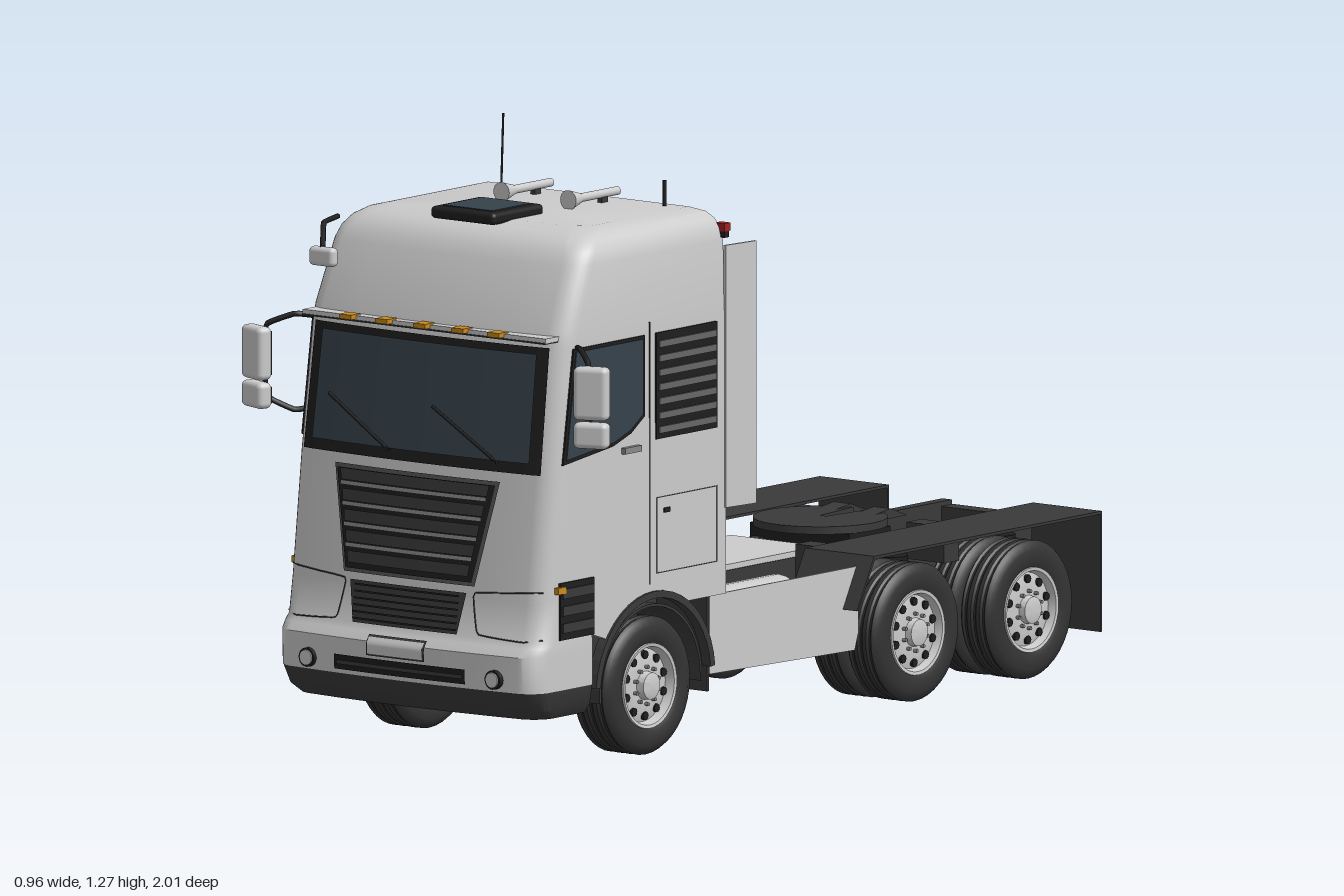
import * as THREE from 'three';
import { toCreasedNormals } from 'three/addons/utils/BufferGeometryUtils.js';
import { RoundedBoxGeometry } from 'three/addons/geometries/RoundedBoxGeometry.js';

const GREY = 0xcccccc, DARK = 0x3a3a3a, BLACK = 0x1e1e1e, GLASS = 0x36424b, TYRE = 0x333333;
const AMBER = 0xc98a1c, RED = 0xa02020, MID = 0x8a8a8a;
const V = (x, y, z) => new THREE.Vector3(x, y, z);

// horizontal sections: [height, front z, half width, back z]
const BUMPER_LOW = [[0.115, 0.96, 0.325, 0.79], [0.135, 0.982, 0.338, 0.79], [0.175, 0.998, 0.344, 0.79]];
const BUMPER = [[0.175, 0.998, 0.345, 0.79], [0.25, 1, 0.345, 0.79], [0.268, 0.988, 0.345, 0.79], [0.28, 0.978, 0.344, 0.79], [0.36, 0.967, 0.343, 0.79]];
const CAB = [[0.36, 0.967, 0.343, 0.34], [0.62, 0.937, 0.343, 0.34], [0.89, 0.9, 0.342, 0.34], [0.92, 0.893, 0.341, 0.34],
  [1.05, 0.838, 0.334, 0.34], [1.075, 0.823, 0.328, 0.341], [1.095, 0.803, 0.315, 0.344], [1.108, 0.775, 0.297, 0.35], [1.116, 0.73, 0.265, 0.365]];
const PROFILE = [...BUMPER_LOW, ...BUMPER, ...CAB];
const R = 0.045;

// front surface: slightly bowed, with round corners
function bow(x, zf, w) {
  const e = Math.max(0, Math.abs(x) - (w - R)) / R;
  return zf - 0.02 * (x / w) ** 2 - R * (1 - Math.sqrt(Math.max(0, 1 - e * e)));
}
function frontZ(x, y) {
  let i = 0;
  while (i < PROFILE.length - 2 && PROFILE[i + 1][0] < y) i++;
  const [a, b] = [PROFILE[i], PROFILE[i + 1]], t = (y - a[0]) / (b[0] - a[0] || 1);
  return bow(x, a[1] + (b[1] - a[1]) * t, a[2] + (b[2] - a[2]) * t);
}
function loft(rings) {
  const pos = [], idx = [];
  let n = 0;
  for (const [y, zf, w, zb] of rings) {
    const xs = [];
    for (let k = 0; k <= 7; k++) xs.push(w - R + R * Math.sin(k / 7 * Math.PI / 2));
    const row = [...xs.slice().reverse().map(x => -x), -0.2, -0.1, 0, 0.1, 0.2, ...xs];
    const pts = row.map(x => [x, y, bow(x, zf, w)]);
    pts.push([w, y, zb], [-w, y, zb]);
    n = pts.length;
    pos.push(...pts.flat());
  }
  const top = rings.length - 1, c = pos.length / 3;
  for (const r of [rings[0], rings[top]]) pos.push(0, r[0], (r[1] + r[3]) / 2);
  for (let j = 0; j < n; j++) {
    const k = (j + 1) % n;
    for (let i = 0; i < top; i++) idx.push(i * n + j, i * n + k, i * n + n + k, i * n + j, i * n + n + k, i * n + n + j);
    idx.push(c, k, j, c + 1, top * n + j, top * n + k);
  }
  return toCreasedNormals(grid(pos, idx), 0.6);
}
function grid(pos, idx) {
  const g = new THREE.BufferGeometry();
  g.setAttribute('position', new THREE.Float32BufferAttribute(pos, 3));
  g.setIndex(idx);
  g.computeVertexNormals();
  return g;
}

export function createModel() {
  const root = new THREE.Group();
  function add(name, geo, color = GREY, parent = root) {
    const m = new THREE.Mesh(geo, new THREE.MeshStandardMaterial({ color, side: THREE.DoubleSide }));
    m.name = name;
    parent.add(m);
    return m;
  }
  const box = (name, x0, x1, y0, y1, z0, z1, color) => add(name,
    new THREE.BoxGeometry(Math.abs(x1 - x0), y1 - y0, Math.abs(z1 - z0)).translate((x0 + x1) / 2, (y0 + y1) / 2, (z0 + z1) / 2), color);
  const tube = (name, pts, r, color = BLACK, seg = 16) => add(name,
    new THREE.TubeGeometry(new THREE.CatmullRomCurve3(pts.map(p => V(...p)), false, 'catmullrom', 0.1), seg, r, 6), color);
  const cyl = (name, axis, r, len, x, y, z, color, r2 = r) => {
    const g = new THREE.CylinderGeometry(r2, r, len, 24);
    if (axis === 'x') g.rotateZ(-Math.PI / 2);
    if (axis === 'z') g.rotateX(Math.PI / 2);
    return add(name, g.translate(x, y, z), color);
  };
  // side outline in (z, y), extruded from x0 to x1
  const side = (name, pts, x0, x1, color) => add(name,
    new THREE.ExtrudeGeometry(new THREE.Shape(pts.map(([z, y]) => new THREE.Vector2(-z, y))), { depth: Math.abs(x1 - x0), bevelEnabled: false })
      .rotateY(Math.PI / 2).translate(Math.min(x0, x1), 0, 0), color);
  // trapezoid laid on the cab front
  function patch(name, y0, w0, y1, w1, off, color, xc = 0) {
    const pos = [], idx = [], nx = 32, ny = 6;
    for (let i = 0; i <= ny; i++) for (let j = 0; j <= nx; j++) {
      const y = y0 + (y1 - y0) * i / ny, x = xc + (w0 + (w1 - w0) * i / ny) * (2 * j / nx - 1);
      pos.push(x, y, frontZ(x, y) + off);
      if (i < ny && j < nx) { const a = i * (nx + 1) + j, d = a + nx + 1; idx.push(a, a + 1, d + 1, a, d + 1, d); }
    }
    return add(name, grid(pos, idx), color);
  }

  // cab shell
  add('cab', loft(CAB));
  add('bumper', loft(BUMPER));
  add('bumperLower', loft(BUMPER_LOW), DARK);

  // front face
  patch('windscreenFrame', 0.625, 0.312, 0.888, 0.308, 0.004, BLACK);
  patch('windscreen', 0.648, 0.286, 0.874, 0.282, 0.008, GLASS);
  for (const x of [-0.07, 0.21])
    tube('wiper', [[x, 0.645, frontZ(x, 0.645) + 0.012], [x - 0.175, 0.745, frontZ(x - 0.175, 0.745) + 0.012]], 0.0035);
  patch('grilleFrame', 0.385, 0.172, 0.605, 0.217, 0.006, 0x555555);
  patch('grille', 0.393, 0.166, 0.597, 0.208, 0.009, BLACK);
  for (let i = 0; i < 5; i++) {
    const y = 0.405 + i * 0.042, w = 0.158 + i * 0.0085;
    patch('grilleSlat', y, w, y + 0.024, w + 0.004, 0.013, DARK);
    if (i) patch('grilleTrim', y - 0.01, w, y - 0.001, w, 0.015, MID);
  }
  patch('lowerGrille', 0.283, 0.137, 0.37, 0.153, 0.006, DARK);
  for (let i = 0; i < 6; i++) patch('lowerGrilleBar', 0.29 + i * 0.014, 0.136, 0.294 + i * 0.014, 0.138, 0.009, BLACK);
  patch('bumperSlot', 0.184, 0.172, 0.215, 0.172, 0.004, BLACK);
  patch('bumperSlotBar', 0.195, 0.165, 0.204, 0.165, 0.007, DARK);
  patch('plateFrame', 0.223, 0.076, 0.266, 0.076, 0.014, DARK);
  patch('plate', 0.226, 0.073, 0.263, 0.073, 0.017, 0xdddddd);
  for (const s of [-1, 1]) {
    const fz = frontZ(0.245, 0.2);
    cyl('fogLightRing', 'z', 0.02, 0.02, s * 0.245, 0.2, fz, BLACK);
    cyl('fogLight', 'z', 0.016, 0.026, s * 0.245, 0.2, fz, GREY);
    // headlight outline
    const q = (x, y) => [s * x, y, frontZ(x, y) + 0.002];
    tube('headlightSeam', [q(0.335, 0.285), q(0.3, 0.28), q(0.25, 0.282), q(0.185, 0.288), q(0.168, 0.37), q(0.24, 0.377), q(0.3, 0.382), q(0.33, 0.383)], 0.0015, DARK, 40);
  }
  // sun visor lip and marker lights
  box('visorLip', -0.32, 0.32, 0.902, 0.912, 0.84, 0.915, GREY);
  box('visorEdge', -0.32, 0.32, 0.9, 0.903, 0.85, 0.918, DARK);
  for (const x of [-0.195, -0.1, 0, 0.1, 0.195]) box('markerLight', x - 0.016, x + 0.016, 0.905, 0.915, 0.9, 0.932, AMBER);

  // cab sides
  const AZ = 0.582, AY = 0.145;
  const arc = (r, a0, a1, n = 20) => Array.from({ length: n + 1 }, (_, i) => {
    const a = a0 + (a1 - a0) * i / n;
    return [AZ + r * Math.cos(a), AY + r * Math.sin(a)];
  });
  for (const s of [-1, 1]) {
    const X = s * 0.341, plate = (n, pts, c, t = 0.005) => side(n, pts, X, X + s * t, c);
    const rect = (z0, z1, y0, y1) => [[z0, y0], [z1, y0], [z1, y1], [z0, y1]];
    plate('sideWindow', [[0.888, 0.645], [0.852, 0.885], [0.615, 0.885], [0.615, 0.715], [0.66, 0.685], [0.72, 0.665]], BLACK, 0.004);
    plate('sideGlass', [[0.878, 0.655], [0.845, 0.878], [0.622, 0.878], [0.622, 0.72], [0.665, 0.692], [0.72, 0.673]], GLASS, 0.006);
    plate('ventPanel', rect(0.373, 0.577, 0.662, 0.885), BLACK);
    for (let i = 0; i < 7; i++) plate('ventSlat', rect(0.38, 0.57, 0.674 + i * 0.03, 0.688 + i * 0.03), 0x666666, 0.009);
    plate('stepPanel', rect(0.785, 0.9, 0.28, 0.4), BLACK, 0.006);
    for (let i = 0; i < 3; i++) plate('stepSlat', rect(0.79, 0.895, 0.295 + i * 0.036, 0.315 + i * 0.036), DARK, 0.01);
    plate('sideMarker', rect(0.885, 0.912, 0.378, 0.392), AMBER, 0.011);
    plate('doorHandle', rect(0.635, 0.69, 0.645, 0.658), MID, 0.012);
    plate('doorSeam', rect(0.594, 0.597, 0.36, 0.91), DARK, 0.003);
    for (const [z0, z1, y0, y1] of [[0.37, 0.573, 0.38, 0.382], [0.37, 0.573, 0.538, 0.54], [0.37, 0.372, 0.38, 0.54], [0.571, 0.573, 0.38, 0.54]])
      plate('lockerSeam', rect(z0, z1, y0, y1), DARK, 0.003);
    plate('lockerLatch', rect(0.53, 0.55, 0.505, 0.515), BLACK);
    // wheel arch, mudguard and bar beside it
    side('archPanel', [[0.79, 0.362], [0.34, 0.362], [0.34, 0.31], [0.475, 0.31], ...arc(0.195, 2.15, 0.3, 16).slice(0, 14), [0.79, 0.28]], s * 0.325, s * 0.343);
    side('archTrim', [...arc(0.2, 0.1, 3.04), ...arc(0.185, 3.04, 0.1)], s * 0.325, s * 0.348, DARK);
    side('mudguard', [...arc(0.172, -0.1, 3.2), ...arc(0.166, 3.2, -0.1)], s * 0.19, s * 0.335, DARK);
    // side fairing behind the cab
    const f = box('fairing', s * 0.343, s * 0.349, 0.49, 1.04, 0.255, 0.345);
    f.geometry.translate(-s * 0.346, 0, -0.345).rotateY(s * -0.12).translate(s * 0.343, 0, 0.345);
    box('cornerLight', s * 0.318, s * 0.342, 1.068, 1.085, 0.325, 0.345, RED);
    box('cornerLightBase', s * 0.318, s * 0.342, 1.055, 1.068, 0.33, 0.345, BLACK);
    // mirrors
    tube('mirrorArm', [[s * 0.335, 0.885, 0.83], [s * 0.375, 0.892, 0.87], [s * 0.425, 0.868, 0.905], [s * 0.425, 0.72, 0.905], [s * 0.375, 0.69, 0.87], [s * 0.335, 0.7, 0.83]], 0.006, BLACK, 40);
    for (const [name, h, y] of [['mirror', 0.112, 0.81], ['wideMirror', 0.055, 0.722]]) {
      const m = add(name, new RoundedBoxGeometry(0.075, h, 0.035, 3, 0.012));
      m.position.set(s * 0.442, y, 0.915);
      m.rotation.y = s * 0.35;
      const g = box('mirrorGlass', -0.03, 0.03, -h / 2 + 0.01, h / 2 - 0.01, -0.019, -0.016, GLASS);
      m.add(g);
    }
    // roof horns
    cyl('horn', 'z', 0.009, 0.16, s * 0.088, 1.134, 0.46, GREY);
    cyl('hornBell', 'z', 0.01, 0.04, s * 0.088, 1.134, 0.525, GREY, 0.021);
    box('hornFoot', s * 0.082, s * 0.094, 1.11, 1.13, 0.42, 0.44, DARK);
  }
  // kerb mirror, roof hatch, aerials
  tube('kerbMirrorArm', [[-0.31, 1.095, 0.81], [-0.3, 1.09, 0.87], [-0.275, 1.045, 0.905]], 0.006);
  add('kerbMirror', new RoundedBoxGeometry(0.065, 0.04, 0.025, 3, 0.01).translate(-0.277, 1.025, 0.9));
  add('roofHatch', new RoundedBoxGeometry(0.17, 0.026, 0.17, 2, 0.01).translate(0, 1.123, 0.705), BLACK);
  box('hatchGlass', -0.065, 0.065, 1.13, 1.138, 0.64, 0.77, GLASS);
  tube('longAerial', [[-0.195, 1.11, 0.41], [-0.199, 1.27, 0.398]], 0.0025);
  tube('shortAerial', [[0.22, 1.1, 0.39], [0.22, 1.17, 0.39]], 0.004);

  // cab back
  box('gutter', -0.27, 0.27, 1.035, 1.046, 0.33, 0.342, BLACK);
  box('backBand', -0.31, 0.31, 0.45, 0.475, 0.332, 0.342, DARK);
  for (const x of [-0.225, -0.125]) box('ladderRail', x - 0.006, x + 0.006, 0.43, 0.82, 0.318, 0.33, MID);
  for (let i = 0; i < 5; i++) box('ladderRung', -0.22, -0.13, 0.47 + i * 0.075, 0.48 + i * 0.075, 0.319, 0.329, MID);
  tube('hosePost', [[0.04, 0.3, 0.265], [0.04, 0.53, 0.265], [0.04, 0.57, 0.24]], 0.007);
  [[0, RED], [0.032, 0xd8c060], [0.064, BLACK], [0.096, MID]].forEach(([x, color]) => {
    const pts = [];
    for (let i = 0; i <= 60; i++) {
      const t = i / 60, a = t * Math.PI * 10;
      pts.push([x + 0.013 * Math.cos(a), 0.56 - 0.16 * t + 0.01 * Math.sin(a), 0.24 - 0.11 * t + 0.01 * Math.sin(a)]);
    }
    tube('coiledHose', pts, 0.0035, color, 120);
  });

  // chassis
  for (const s of [-1, 1]) {
    box('rail', s * 0.095, s * 0.12, 0.215, 0.3, -0.97, 0.9, DARK);
    side('skirt', [[0.385, 0.31], [0.385, 0.145], [-0.1, 0.135], [-0.112, 0.17], [-0.112, 0.31]], s * 0.331, s * 0.335);
    side('rearFender', [[-0.06, 0.225], [-0.118, 0.333], [-0.88, 0.333], [-0.88, 0.08], [-0.875, 0.08], [-0.875, 0.327], [-0.122, 0.327], [-0.065, 0.225]], s * 0.19, s * 0.372, DARK);
    box('frontFlap', s * 0.2, s * 0.335, 0.11, 0.31, 0.387, 0.394, DARK);
    for (const z of [-0.21, -0.49, -0.85]) cyl('airSpring', 'y', 0.034, 0.11, s * 0.125, 0.21, z, BLACK);
    for (const z of [-0.31, -0.69]) side('spring', [[z + 0.17, 0.2], [z, 0.17], [z - 0.17, 0.2], [z - 0.17, 0.185], [z, 0.15], [z + 0.17, 0.185]], s * 0.095, s * 0.13, DARK);
    side('frontSpring', [[0.85, 0.22], [0.58, 0.16], [0.33, 0.22], [0.33, 0.205], [0.58, 0.14], [0.85, 0.205]], s * 0.11, s * 0.14, DARK);
    for (const z of [-0.2, -0.57]) box('fenderBracket', s * 0.12, s * 0.22, 0.25, 0.327, z - 0.025, z + 0.025, DARK);
    // tail lights
    [AMBER, RED, GREY, RED].forEach((c, i) => box('tailLight', s * (0.272 - i * 0.028), s * (0.248 - i * 0.028), 0.178, 0.205, -0.998, -0.98, c));
    box('barBracket', s * 0.1, s * 0.115, 0.13, 0.23, -0.985, -0.96, DARK);
  }
  box('deck', -0.118, 0.118, 0.295, 0.312, -0.26, 0.34, GREY);
  box('rearBar', -0.282, 0.282, 0.168, 0.212, -0.988, -0.972, BLACK);
  box('rearPlate', -0.07, 0.07, 0.175, 0.206, -0.998, -0.985, 0xdddddd);
  for (const z of [-0.955, -0.585, -0.12, 0.2, 0.8]) box('crossMember', -0.1, 0.1, 0.23, 0.29, z - 0.02, z + 0.02, DARK);
  box('engine', -0.09, 0.09, 0.15, 0.36, 0.42, 0.85, DARK);
  cyl('gearbox', 'z', 0.07, 0.2, 0, 0.21, 0.32, DARK, 0.09);
  cyl('driveShaft', 'z', 0.02, 0.95, 0, 0.17, -0.23, DARK);

  // tank, battery boxes, air tank
  cyl('fuelTank', 'z', 0.073, 0.33, 0.213, 0.222, 0.165, GREY);
  cyl('fuelCap', 'y', 0.017, 0.02, 0.25, 0.29, 0.27, MID);
  for (const [z0, z1] of [[0, 0.14], [0.15, 0.33]]) box('batteryBox', -0.305, -0.175, 0.15, 0.29, z0, z1, DARK);
  cyl('batteryKnob', 'y', 0.01, 0.01, -0.24, 0.295, 0.07, 0x2a6fc0);
  cyl('airTank', 'z', 0.034, 0.2, -0.172, 0.2, -0.07, DARK);
  cyl('silencer', 'z', 0.04, 0.16, 0.19, 0.15, 0.2, DARK);

  // fifth wheel
  const slot = new THREE.Shape().absarc(0, 0, 0.14, -Math.PI / 2 + 0.16, Math.PI * 1.5 - 0.16);
  slot.lineTo(-0.008, -0.01);
  slot.lineTo(0.008, -0.01);
  add('couplingPlate', new THREE.ExtrudeGeometry(slot, { depth: 0.016, bevelEnabled: false, curveSegments: 40 }).rotateX(-Math.PI / 2).scale(1, 1, -1).translate(0, 0.328, -0.41), DARK).geometry.index;
  for (const s of [-1, 1]) side('couplingRamp', [[-0.5, 0.344], [-0.55, 0.35], [-0.605, 0.33], [-0.5, 0.328]], s * 0.03, s * 0.075, DARK);
  box('couplingBase', -0.13, 0.13, 0.295, 0.328, -0.48, -0.34, BLACK);

  // wheels
  function wheel(name, x, z, s, h, rimmed) {
    const g = new THREE.Group();
    g.name = name;
    g.position.set(s * x, 0.145, z);
    if (s < 0) g.rotation.y = Math.PI;
    root.add(g);
    const lathe = (n, pts, c) => add(n, toCreasedNormals(new THREE.LatheGeometry(pts.map(p => new THREE.Vector2(...p)), 40).rotateZ(-Math.PI / 2), 0.6), c, g);
    const prof = [[0.086, -h * 0.85], [0.1, -h], [0.125, -h], [0.14, -h * 0.85]];
    for (const t of [-0.55, 0, 0.55]) prof.push([0.145, (t - 0.16) * h], [0.141, (t - 0.05) * h], [0.141, (t + 0.05) * h], [0.145, (t + 0.16) * h]);
    lathe('tyre', [...prof, [0.14, h * 0.85], [0.125, h], [0.1, h], [0.086, h * 0.85]], TYRE);
    const back = new THREE.CylinderGeometry(0.087, 0.087, h, 32).rotateZ(Math.PI / 2).translate(-h * 0.3, 0, 0);
    add('drum', back, DARK, g);
    if (!rimmed) return;
    lathe('rim', [[0.09, h * 0.8], [0.089, h * 0.98], [0.082, h * 0.95], [0.077, h * 0.55], [0.05, h * 0.72], [0.046, h * 0.72], [0.03, h * 0.72], [0.028, h * 1.05], [0.018, h * 1.12], [0.0001, h * 1.12]], GREY);
    for (let i = 0; i < 10; i++) {
      const a = i * Math.PI / 5, c = Math.cos(a), d = Math.sin(a);
      add('rimHole', new THREE.CylinderGeometry(0.009, 0.009, 0.012, 10).rotateZ(Math.PI / 2).translate(h * 0.62, 0.064 * c, 0.064 * d), BLACK, g);
      add('wheelNut', new THREE.CylinderGeometry(0.004, 0.004, 0.012, 6).rotateZ(Math.PI / 2).translate(h * 0.78, 0.039 * c, 0.039 * d), MID, g);
    }
  }
  for (const s of [-1, 1]) {
    wheel('frontWheel', 0.285, AZ, s, 0.05, true);
    for (const z of [-0.314, -0.694]) {
      wheel('rearOuterWheel', 0.293, z, s, 0.042, true);
      wheel('rearInnerWheel', 0.199, z, s, 0.042, false);
    }
  }
  cyl('frontAxle', 'x', 0.022, 0.5, 0, 0.135, AZ, DARK);
  for (const z of [-0.314, -0.694]) {
    cyl('rearAxle', 'x', 0.032, 0.5, 0, 0.145, z, DARK);
    add('differential', new THREE.SphereGeometry(0.066, 24, 16).scale(1, 1, 1.25).translate(0, 0.148, z), DARK);
  }
  return root;
}
